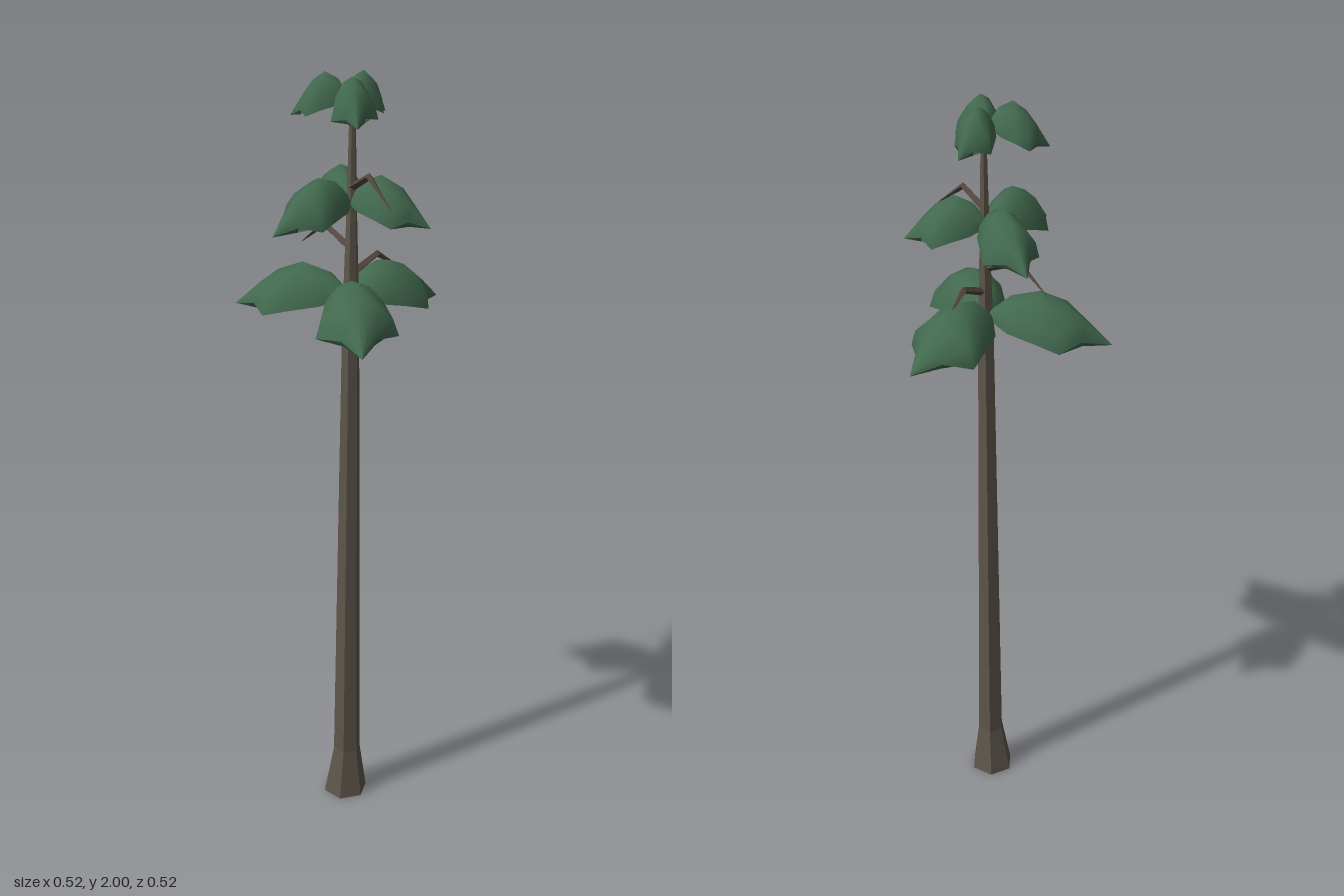
import * as THREE from 'three';

const paint = (name, color) => {
  const m = new THREE.MeshStandardMaterial({ color });
  m.name = name;
  return m;
};

// Faceted limb through sections [x, y, z, radius]; rings span the axes u and v
function limb(sections, sides, u, v) {
  const pos = [], idx = [];
  for (const [x, y, z, r] of sections) {
    for (let i = 0; i < sides; i++) {
      const a = (i / sides) * Math.PI * 2;
      const p = new THREE.Vector3(x, y, z)
        .addScaledVector(u, r * Math.cos(a))
        .addScaledVector(v, r * Math.sin(a));
      pos.push(p.x, p.y, p.z);
    }
  }
  const last = (sections.length - 1) * sides;
  for (let s = 0; s < last; s += sides) {
    for (let i = 0; i < sides; i++) {
      const a = s + i, b = s + ((i + 1) % sides);
      idx.push(a, b, a + sides, b, b + sides, a + sides);
    }
  }
  for (let i = 1; i < sides - 1; i++) {
    idx.push(0, i + 1, i, last, last + i, last + i + 1);
  }
  const g = new THREE.BufferGeometry();
  g.setAttribute('position', new THREE.Float32BufferAttribute(pos, 3));
  g.setIndex(idx);
  const flat = g.toNonIndexed();
  flat.computeVertexNormals();
  return flat;
}

// Leaf cross-sections from stem to tip: position, width, ridge height, rim height
const ROWS = [
  [0, 0.15, 0.5, 0.4],
  [0.18, 0.65, 0.86, 0.3],
  [0.4, 0.84, 1, 0.2],
  [0.61, 1, 0.8, 0.08],
  [0.77, 0.43, 0.5, 0.16],
  [1, 0, 0, 0],
];

// One side of a drooping pointed leaf; the underside is a lowered copy
function leafSurface(y0, h, root, tip, left, right, under) {
  const pos = [], idx = [];
  const spine = (t) => [root[0] + (tip[0] - root[0]) * t, root[1] + (tip[1] - root[1]) * t];
  const mid = spine(0.61);
  ROWS.forEach(([t, w, ridge, rim], r) => {
    const [sx, sz] = spine(t);
    const drop = under && r > 0 && r < ROWS.length - 1 ? 0.25 : 0;
    for (const k of [-1, -0.86, -0.45, 0, 0.45, 0.86, 1]) {
      const corner = k < 0 ? left : right, a = Math.abs(k);
      const lift = a === 1 ? 0 : a > 0.8 ? 0.45 : a > 0.4 ? 0.85 : 1;
      const f = rim + (ridge - rim) * lift - (a === 1 ? 0 : drop);
      pos.push(sx + a * w * (corner[0] - mid[0]), y0 + h * f, sz + a * w * (corner[1] - mid[1]));
    }
  });
  for (let r = 0; r < ROWS.length - 1; r++) {
    for (let c = 0; c < 6; c++) {
      const a = r * 7 + c, b = a + 1, d = a + 7, e = a + 8;
      if (under) idx.push(a, d, b, b, d, e);
      else idx.push(a, b, d, b, e, d);
    }
  }
  const g = new THREE.BufferGeometry();
  g.setAttribute('position', new THREE.Float32BufferAttribute(pos, 3));
  g.setIndex(idx);
  g.computeVertexNormals();
  return g;
}

// Each tier: base height, leaf height, leaves as [tip, left corner, right corner] in x, z
const TIERS = [
  { name: 'lowerLeaves', y: 1.4, h: 0.13, leaves: [
    [[0.065, -0.26], [-0.055, -0.165], [0.147, -0.135]],
    [[-0.26, 0.145], [-0.113, 0.19], [-0.187, 0.01]],
    [[0.262, 0.227], [0.232, 0.068], [0.104, 0.222]],
  ] },
  { name: 'middleLeaves', y: 1.645, h: 0.12, leaves: [
    [[-0.16, -0.097], [-0.13, 0.005], [-0.045, -0.105]],
    [[0.218, -0.055], [0.11, -0.095], [0.175, 0.04]],
    [[0, 0.258], [0.08, 0.17], [-0.066, 0.155]],
  ] },
  { name: 'crownLeaves', y: 1.893, h: 0.107, leaves: [
    [[0.027, -0.1], [-0.027, -0.045], [0.077, -0.04]],
    [[-0.1, 0.097], [-0.03, 0.115], [-0.09, 0.02]],
    [[0.13, 0.105], [0.117, 0.022], [0.053, 0.115]],
  ] },
];

// Bare twigs: root, elbow and tip
const TWIGS = [
  [[0.035, 1.58, 0.03], [-0.065, 1.62, 0.02], [-0.155, 1.555, 0.008]],
  [[0.04, 1.73, 0.03], [0.11, 1.77, 0.045], [0.195, 1.705, 0.06]],
  [[0.038, 1.515, 0.03], [0.045, 1.55, -0.055], [0.042, 1.505, -0.13]],
];

export function createModel() {
  const tree = new THREE.Group();
  tree.name = 'tree';
  const bark = paint('bark', 0x5e564b);
  const twigBark = paint('twigBark', 0x54463f);
  const foliage = paint('foliage', 0x42694f);
  const add = (parent, name, geometry, material) => {
    const mesh = new THREE.Mesh(geometry, material);
    mesh.name = name;
    parent.add(mesh);
  };

  // Six-sided trunk with a flared foot and a slight lean
  const X = new THREE.Vector3(1, 0, 0), Y = new THREE.Vector3(0, 1, 0);
  add(tree, 'trunk', limb([
    [0.02, 0, 0.035, 0.06],
    [0.025, 0.14, 0.034, 0.037],
    [0.036, 1.4, 0.03, 0.022],
    [0.039, 1.65, 0.03, 0.014],
    [0.042, 1.95, 0.03, 0.007],
  ], 6, X, new THREE.Vector3(0, 0, -1)), bark);

  // Bent twigs
  TWIGS.forEach((pts) => {
    const dir = new THREE.Vector3(pts[2][0] - pts[0][0], 0, pts[2][2] - pts[0][2]).normalize();
    const radii = [0.011, 0.009, 0.001];
    const side = new THREE.Vector3().crossVectors(Y, dir);
    add(tree, 'twig', limb(pts.map((p, i) => [...p, radii[i]]), 4, side, Y), twigBark);
  });

  // Three tiers of three leaves
  for (const tier of TIERS) {
    const group = new THREE.Group();
    group.name = tier.name;
    for (const [tip, left, right] of tier.leaves) {
      for (const under of [false, true]) {
        add(group, under ? 'leafUnderside' : 'leafTop',
          leafSurface(tier.y, tier.h, [0.028, 0.028], tip, left, right, under), foliage);
      }
    }
    tree.add(group);
  }
  return tree;
}
